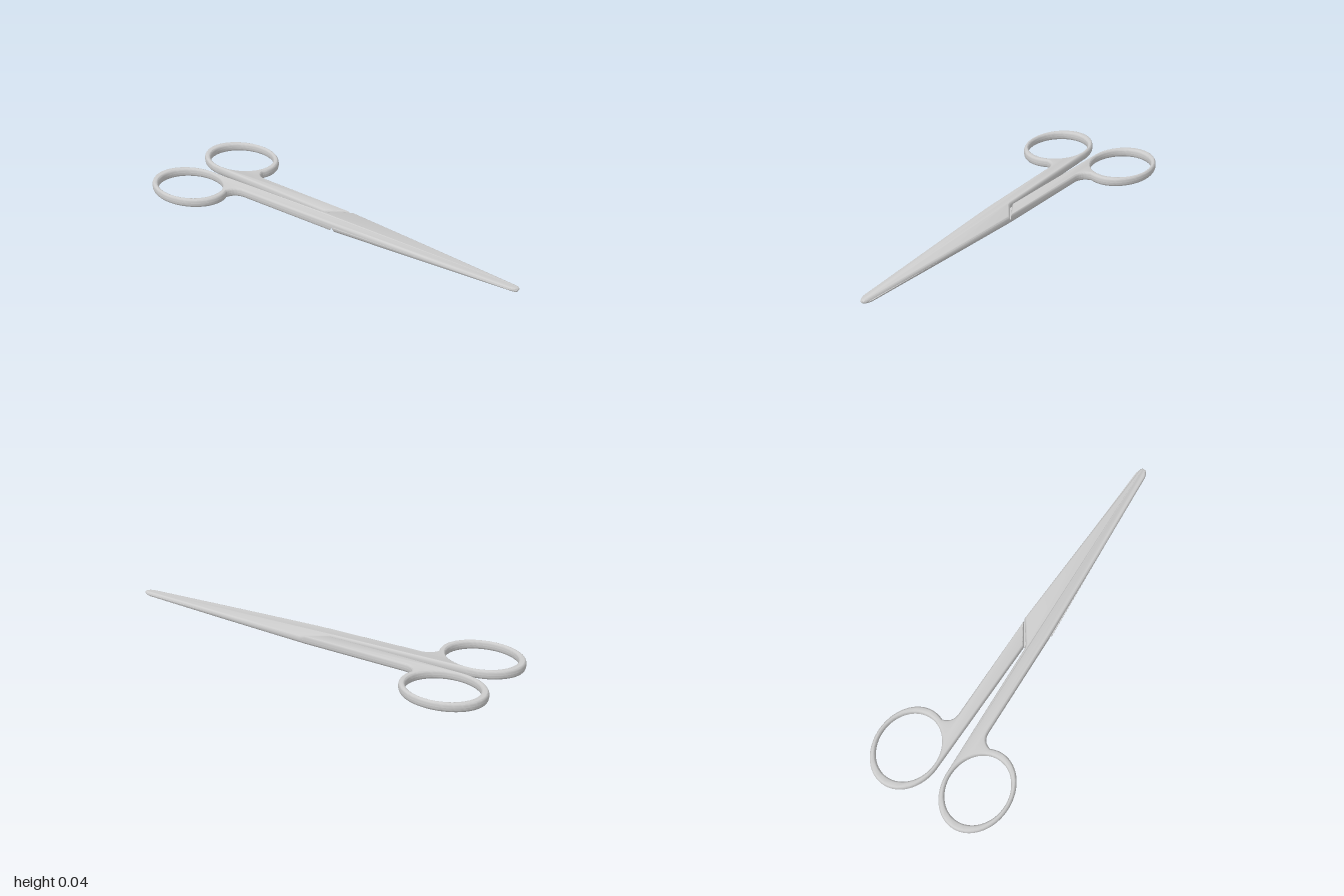
import * as THREE from 'three';
import { toCreasedNormals } from 'three/addons/utils/BufferGeometryUtils.js';

const HALF = 0.0215; // half of the handle thickness

// Finger ring and the outer edge of the shank, shared by both layers
function startOutline() {
  const s = new THREE.Shape();
  s.moveTo(-0.79, 0.024);
  s.absellipse(-0.79, 0.187, 0.205, 0.163, -Math.PI / 2, -0.35, true);
  s.quadraticCurveTo(-0.587, 0.085, -0.535, 0.082);
  const hole = new THREE.Path();
  hole.absellipse(-0.788, 0.187, 0.169, 0.142, 0, Math.PI * 2, false);
  s.holes.push(hole);
  return s;
}

// Bevelled plate, cut flat at mid height: side +1 keeps the top, -1 the bottom
function layer(shape, side) {
  const geo = new THREE.ExtrudeGeometry(shape, {
    depth: 0.001, curveSegments: 48, bevelEnabled: true,
    bevelThickness: HALF - 0.0005, bevelSize: 0.01, bevelOffset: -0.01, bevelSegments: 4,
  });
  geo.translate(0, 0, -0.0005);
  geo.rotateX(Math.PI / 2);
  const p = geo.attributes.position;
  for (let i = 0; i < p.count; i++) {
    // the blade thins towards its tip
    const t = THREE.MathUtils.clamp((p.getX(i) - 0.02) / 0.98, 0, 1);
    const y = side * Math.max(0, side * p.getY(i)) * (1 - 0.55 * t);
    p.setY(i, y);
  }
  return toCreasedNormals(geo, 0.7);
}

function createHalf(name, material) {
  const half = new THREE.Group();
  half.name = name;

  // Upper layer: ring, shank and the full blade
  const upper = startOutline();
  upper.lineTo(0, 0.072);
  upper.lineTo(0.2, 0.063);
  upper.lineTo(0.5, 0.049);
  upper.lineTo(0.95, 0.026);
  upper.bezierCurveTo(0.995, 0.02, 1.005, -0.015, 0.97, -0.019);
  upper.lineTo(0.5, -0.049);
  upper.lineTo(0.02, -0.077);
  upper.lineTo(-0.085, -0.003);
  upper.lineTo(-0.105, 0.004);
  upper.closePath();

  // Lower layer: ring and shank, stopping at the diagonal shoulder
  const lower = startOutline();
  lower.lineTo(0.006, 0.072);
  lower.lineTo(-0.1, 0.004);
  lower.closePath();

  const blade = new THREE.Mesh(layer(upper, 1), material);
  blade.name = 'bladeAndHandle';
  const shank = new THREE.Mesh(layer(lower, -1), material);
  shank.name = 'handleUnderside';
  half.add(blade, shank);
  return half;
}

export function createModel() {
  const model = new THREE.Group();
  model.name = 'scissors';
  const material = new THREE.MeshStandardMaterial({ color: 0xcccccc });

  // Two identical halves, one turned over about the long axis
  const front = createHalf('frontHalf', material);
  const back = createHalf('backHalf', material);
  back.rotation.x = Math.PI;

  const pair = new THREE.Group();
  pair.name = 'crossedHalves';
  pair.add(front, back);
  pair.position.set(0, HALF, -0.008);
  pair.rotation.y = 0.01;
  model.add(pair);
  return model;
}
